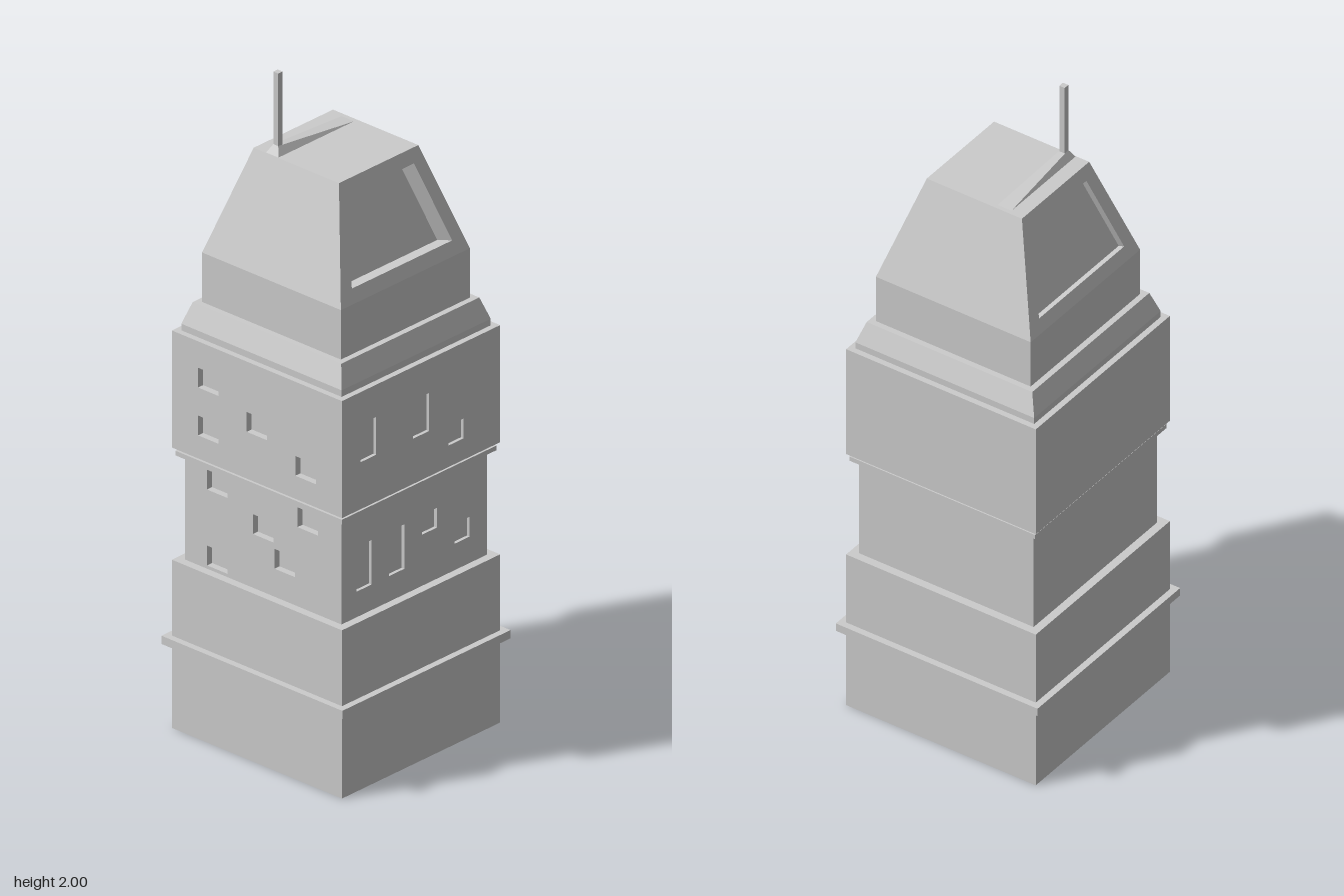
import * as THREE from 'three';
import { ConvexGeometry } from 'three/addons/geometries/ConvexGeometry.js';

const material = new THREE.MeshStandardMaterial({ color: 0xcccccc, flatShading: true });

function add(parent, name, geometry) {
  const mesh = new THREE.Mesh(geometry, material);
  mesh.name = name;
  parent.add(mesh);
  return mesh;
}

// Box given by its minimum and maximum corners
function block(parent, name, [x0, y0, z0], [x1, y1, z1]) {
  const mesh = add(parent, name, new THREE.BoxGeometry(x1 - x0, y1 - y0, z1 - z0));
  mesh.position.set((x0 + x1) / 2, (y0 + y1) / 2, (z0 + z1) / 2);
  return mesh;
}

// Centred square storey
const storey = (parent, name, h, y0, y1) => block(parent, name, [-h, y0, -h], [h, y1, h]);

// Wall slab with rectangular window openings [u, y, width, height]
function windowWall(u0, u1, y0, y1, depth, windows) {
  const rect = (P, a, b, c, d) => new P([[a, c], [b, c], [b, d], [a, d]].map(p => new THREE.Vector2(...p)));
  const shape = rect(THREE.Shape, u0, u1, y0, y1);
  for (const [u, y, w, h] of windows)
    shape.holes.push(rect(THREE.Path, u - w / 2, u + w / 2, y - h / 2, y + h / 2));
  return new THREE.ExtrudeGeometry(shape, { depth, bevelEnabled: false });
}

// Storey with recessed windows in the front and left walls
function windowStorey(parent, name, h, y0, y1, frontWindows, sideWindows) {
  const group = new THREE.Group();
  group.name = name;
  parent.add(group);
  const df = 0.02, ds = 0.01;
  block(group, 'core', [-h, y0, -h], [h - ds, y1, h - df]);
  add(group, 'frontWall', windowWall(-h, h, y0, y1, df, frontWindows)).position.z = h - df;
  // Side wall: shape x runs towards -z
  const side = add(group, 'sideWall', windowWall(-(h - df), h, y0, y1, ds,
    sideWindows.map(([z, ...rest]) => [-z, ...rest])));
  side.rotation.y = Math.PI / 2;
  side.position.x = h - ds;
}

// Tapered roof with a recessed trapezoid opening in each side
function roofGeometry() {
  const y0 = 1.44, y1 = 1.755, w0 = 0.257, w1 = 0.158;
  const slope = (w0 - w1) / (y1 - y0);
  const len = Math.hypot(1, slope);
  const halfAt = y => w0 - (y - y0) * slope;
  const positions = [];
  const quad = (a, b, c, d) => positions.push(...a, ...b, ...c, ...a, ...c, ...d);

  for (const [s, depth] of [[1, 0.058], [-1, 0.019]]) {
    const facing = (a, b, c, d) => (s > 0 ? quad(a, b, c, d) : quad(d, c, b, a));
    const loop = (yb, yt, zb, zt, d) => [[zb, yb], [-zb, yb], [-zt, yt], [zt, yt]]
      .map(([z, y]) => [s * (halfAt(y) - d / len), y - d * slope / len, z]);
    const loops = [
      loop(y0, y1, w0, w1, 0),
      loop(1.48, 1.715, 0.2, 0.127, 0),
      loop(1.48, 1.715, 0.2, 0.127, depth),
    ];
    for (let k = 0; k < 2; k++)
      for (let i = 0; i < 4; i++) {
        const j = (i + 1) % 4;
        facing(loops[k][i], loops[k][j], loops[k + 1][j], loops[k + 1][i]);
      }
    facing(...loops[2]);
    // Front and back slopes
    quad([-s * w0, y0, s * w0], [s * w0, y0, s * w0], [s * w1, y1, s * w1], [-s * w1, y1, s * w1]);
  }
  quad([-w1, y1, w1], [w1, y1, w1], [w1, y1, -w1], [-w1, y1, -w1]);

  const geometry = new THREE.BufferGeometry();
  geometry.setAttribute('position', new THREE.Float32BufferAttribute(positions, 3));
  geometry.computeVertexNormals();
  return geometry;
}

export function createModel() {
  const tower = new THREE.Group();
  tower.name = 'tower';

  // Base and ledge
  storey(tower, 'base', 0.315, 0, 0.51);
  storey(tower, 'baseLedge', 0.335, 0.255, 0.28);

  // Windowed storeys
  const front = ([x, y]) => [x, y, 0.076, 0.06];
  windowStorey(tower, 'middleStorey', 0.29, 0.51, 0.83,
    [[-0.17, 0.78], [0.165, 0.78], [0, 0.703], [0.08, 0.625], [-0.17, 0.55]].map(front),
    [[0.2, 0.655, 0.06, 0.135], [0.07, 0.655, 0.06, 0.135],
      [-0.06, 0.695, 0.06, 0.06], [-0.19, 0.62, 0.06, 0.06]]);
  storey(tower, 'middleLedge', 0.308, 0.826, 0.84);
  storey(tower, 'middleNeck', 0.298, 0.84, 0.85);
  windowStorey(tower, 'upperStorey', 0.315, 0.85, 1.205,
    [[-0.18, 1.095], [0, 1.022], [-0.18, 0.95], [0.18, 0.95]].map(front),
    [[0.21, 1.05, 0.063, 0.115], [0, 1.045, 0.063, 0.115], [-0.14, 0.945, 0.06, 0.06]]);

  // Shoulder with a sloped rim
  storey(tower, 'shoulder', 0.297, 1.205, 1.225);
  const rim = new THREE.CylinderGeometry(0.275 * Math.SQRT2, 0.297 * Math.SQRT2, 0.065, 4);
  rim.rotateY(Math.PI / 4).translate(0, 1.2575, 0);
  add(tower, 'shoulderRim', rim);

  // Top storey and roof
  storey(tower, 'topStorey', 0.257, 1.29, 1.44);
  add(tower, 'roof', roofGeometry());

  // Wedge-shaped fin carrying the mast
  add(tower, 'mastFin', new ConvexGeometry([
    [-0.114, 1.755, -0.145], [-0.068, 1.755, -0.145],
    [-0.114, 1.755, 0.156], [-0.068, 1.755, 0.156],
    [-0.1, 1.78, 0.142], [-0.082, 1.78, 0.142],
  ].map(p => new THREE.Vector3(...p))));
  block(tower, 'mast', [-0.1, 1.76, 0.125], [-0.082, 2, 0.142]);

  return tower;
}
